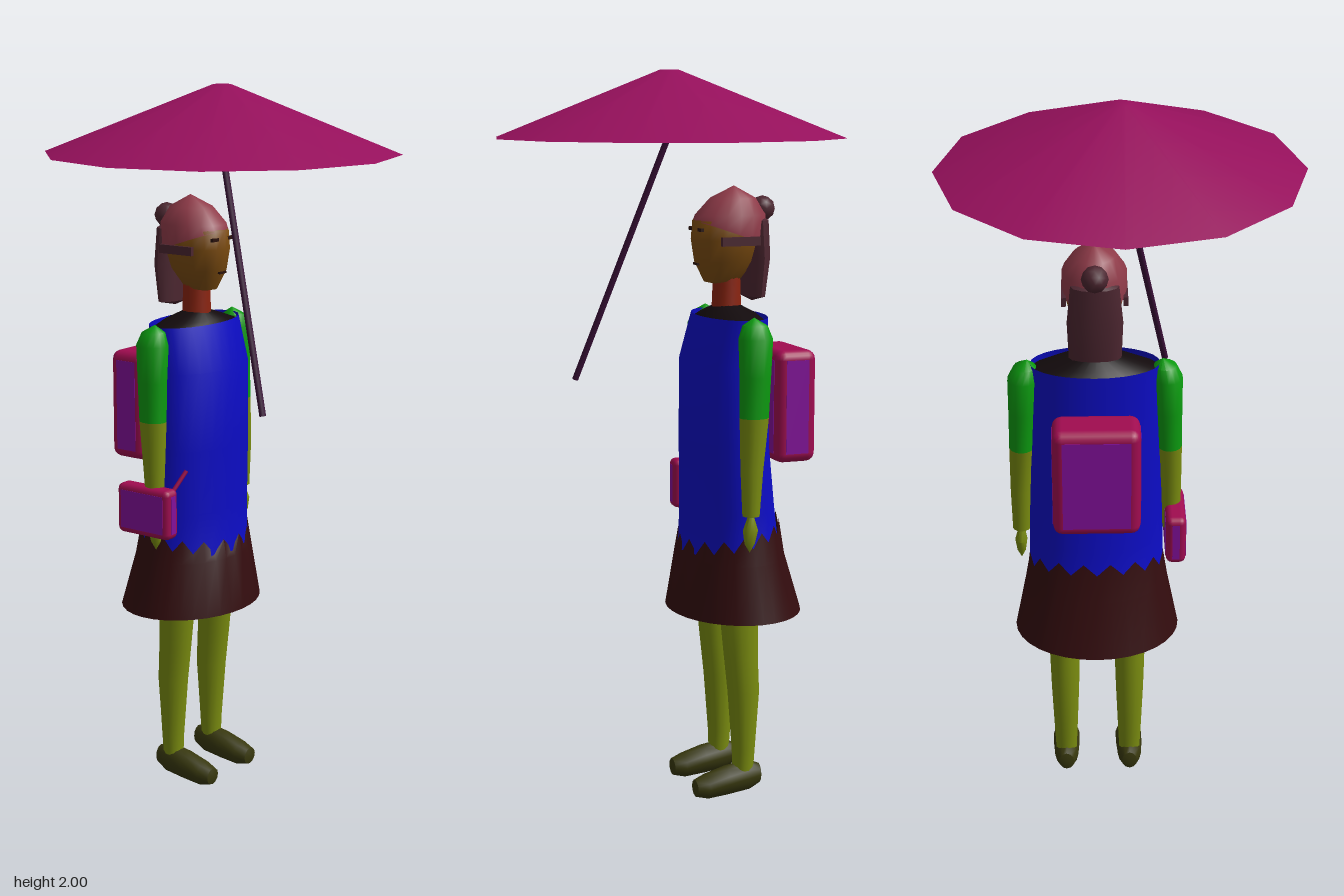
import * as THREE from 'three';
import { toCreasedNormals } from 'three/addons/utils/BufferGeometryUtils.js';
import { RoundedBoxGeometry } from 'three/addons/geometries/RoundedBoxGeometry.js';

const CX = -0.14, CZ = -0.07; // body axis; the figure looks along +x

const mat = (color, side = THREE.FrontSide) => new THREE.MeshStandardMaterial({ color, side });
const plum = mat(0x96105c), blue = mat(0x0c0cc4, THREE.DoubleSide), brown = mat(0x330c0e, THREE.DoubleSide);
const black = mat(0x120a0c), green = mat(0x0c9a10), olive = mat(0x7a8c10), skin = mat(0x7c4c10);
const red = mat(0x8a2410), pink = mat(0x8e3a48), darkHair = mat(0x4c2630), shoe = mat(0x38380e);
const crimson = mat(0xa00c50), purple = mat(0x84109c), pole = mat(0x3a1038), line = mat(0x2a120c);

// Skin over elliptical rings [y, cx, cz, rx, rz], bottom to top; lift(i, a) shifts points in y
function loft(rings, n = 14, lift = () => 0) {
  const pos = [], idx = [];
  rings.forEach(([y, cx, cz, rx, rz], i) => {
    for (let j = 0; j < n; j++) {
      const a = (j / n) * Math.PI * 2;
      pos.push(cx + rx * Math.cos(a), y + lift(i, a, j), cz + rz * Math.sin(a));
      if (i === rings.length - 1) continue;
      const p = i * n + j, q = i * n + (j + 1) % n;
      idx.push(p, p + n, q, q, p + n, q + n);
    }
  });
  const g = new THREE.BufferGeometry();
  g.setAttribute('position', new THREE.Float32BufferAttribute(pos, 3));
  g.setIndex(idx);
  return toCreasedNormals(g, 0.8);
}

export function createModel() {
  const model = new THREE.Group();
  const add = (name, geometry, material, x = 0, y = 0, z = 0, parent = model) => {
    const m = new THREE.Mesh(geometry, material);
    m.name = name;
    m.position.set(x, y, z);
    parent.add(m);
    return m;
  };
  const rod = (name, from, to, r, material) => {
    const a = new THREE.Vector3(...from), b = new THREE.Vector3(...to);
    add(name, new THREE.TubeGeometry(new THREE.LineCurve3(a, b), 1, r, 8), material);
  };

  // Parasol with twelve sides and a leaning pole
  const canopy = new THREE.CylinderGeometry(0.025, 0.48, 0.18, 12);
  add('parasolCanopy', toCreasedNormals(canopy, 0.6), plum, 0, 1.91, 0);
  rod('parasolPole', [0, 1.83, 0], [0.23, 1.155, 0.132], 0.009, pole);

  // Tunic, running down inside the skirt as a lining
  add('tunic', loft([
    [0.53, -0.162, CZ, 0.172, 0.217],
    [0.72, -0.148, CZ, 0.130, 0.184],
    [0.82, -0.143, CZ, 0.122, 0.182],
    [1.00, -0.133, CZ, 0.114, 0.178],
    [1.22, -0.132, CZ, 0.112, 0.176],
    [1.345, -0.148, CZ, 0.090, 0.170],
  ], 28), blue);
  add('collar', loft([
    [1.33, -0.148, CZ, 0.088, 0.168],
    [1.35, -0.146, CZ, 0.070, 0.110],
    [1.375, CX, CZ, 0.03, 0.03],
  ], 24), black);

  // Skirt with a ragged top edge, higher at the back
  add('skirt', loft([
    [0.525, -0.1625, CZ, 0.1825, 0.227],
    [0.68, -0.152, CZ, 0.146, 0.196],
    [0.745, -0.148, CZ, 0.131, 0.186],
  ], 32, (i, a, j) => i === 2 ? -0.03 * Math.cos(a) + (j % 2 ? 0.018 : -0.018) : 0), brown);

  // Neck and head
  add('neck', loft([[1.33, CX, CZ, 0.042, 0.042], [1.46, CX, CZ, 0.037, 0.037]], 12), red);
  add('face', loft([
    [1.425, -0.125, CZ, 0, 0],
    [1.436, -0.125, CZ, 0.050, 0.034],
    [1.49, -0.132, CZ, 0.083, 0.066],
    [1.55, -0.138, CZ, 0.098, 0.080],
    [1.60, -0.14, CZ, 0.096, 0.078],
    [1.65, -0.15, CZ, 0.06, 0.05],
  ], 16), skin);
  add('hairCap', loft([
    [1.565, -0.145, CZ, 0.100, 0.084],
    [1.615, -0.150, CZ, 0.098, 0.083],
    [1.66, -0.157, CZ, 0.063, 0.055],
    [1.693, -0.16, CZ, 0, 0],
  ], 16, (i, a) => i === 0 ? 0.035 * Math.cos(a) : 0), pink);
  add('hairTail', loft([
    [1.38, -0.215, CZ, 0, 0],
    [1.395, -0.215, CZ, 0.028, 0.068],
    [1.50, -0.222, CZ, 0.036, 0.072],
    [1.60, -0.22, CZ, 0.034, 0.062],
    [1.625, -0.215, CZ, 0, 0],
  ], 12), darkHair);
  add('hairBun', new THREE.IcosahedronGeometry(0.035, 1), darkHair, -0.243, 1.63, CZ);

  for (const s of [-1, 1]) {
    const side = s > 0 ? 'right' : 'left'; // the figure's own sides
    const at = (d) => CZ + s * d;

    // Face details and side locks
    add(side + 'Eye', new THREE.BoxGeometry(0.008, 0.009, 0.028), line, -0.051, 1.578, at(0.034));
    add(side + 'Lock', new THREE.BoxGeometry(0.11, 0.024, 0.012), darkHair, -0.15, 1.548, at(0.079));

    // Arm in two colours, then the hand
    add(side + 'UpperArm', loft([
      [1.09, -0.142, at(0.198), 0.040, 0.034],
      [1.20, -0.146, at(0.194), 0.043, 0.037],
      [1.30, -0.148, at(0.190), 0.047, 0.041],
      [1.335, -0.148, at(0.184), 0.034, 0.030],
      [1.355, -0.148, at(0.178), 0, 0],
    ]), green);
    add(side + 'Forearm', loft([
      [0.82, -0.132, at(0.205), 0, 0],
      [0.825, -0.132, at(0.205), 0.023, 0.024],
      [0.95, -0.134, at(0.204), 0.031, 0.028],
      [1.09, -0.142, at(0.198), 0.040, 0.034],
    ]), olive);
    add(side + 'Hand', loft([
      [0.725, -0.128, at(0.207), 0, 0],
      [0.75, -0.128, at(0.207), 0.015, 0.012],
      [0.785, -0.13, at(0.207), 0.022, 0.017],
      [0.825, -0.132, at(0.205), 0.008, 0.008],
    ], 10), olive);

    // Leg
    add(side + 'Leg', loft([
      [0.07, -0.16, at(0.092), 0.029, 0.030],
      [0.13, -0.161, at(0.092), 0.032, 0.033],
      [0.30, -0.160, at(0.092), 0.045, 0.040],
      [0.40, -0.152, at(0.092), 0.048, 0.043],
      [0.52, -0.145, at(0.092), 0.054, 0.046],
      [0.78, -0.143, at(0.088), 0.062, 0.055],
    ]), olive);

    // Shoe, skinned from heel to toe and then laid flat along x
    const foot = loft([
      [-0.215, -0.055, 0, 0, 0],
      [-0.208, -0.055, 0, 0.028, 0.022],
      [-0.175, -0.054, 0, 0.043, 0.034],
      [-0.11, -0.045, 0, 0.041, 0.038],
      [-0.05, -0.034, 0, 0.034, 0.038],
      [-0.018, -0.032, 0, 0.024, 0.026],
      [-0.01, -0.032, 0, 0, 0],
    ], 12).rotateZ(-Math.PI / 2);
    add(side + 'Shoe', foot, shoe, 0, 0, at(0.092));
  }
  add('mouth', new THREE.BoxGeometry(0.008, 0.006, 0.03), line, -0.052, 1.485, CZ);

  // Rounded bag with a flat panel on every face
  const bag = (name, [x, y, z], [w, h, d], r) => {
    const g = new THREE.Group();
    g.name = name;
    g.position.set(x, y, z);
    add('body', new RoundedBoxGeometry(w, h, d, 2, r), crimson, 0, 0, 0, g);
    const e = 0.002, k = 2 * r;
    add('sidePanels', new THREE.BoxGeometry(w - k, h - k, d + e), purple, 0, 0, 0, g);
    add('backPanels', new THREE.BoxGeometry(w + e, h - k, d - k), purple, 0, 0, 0, g);
    model.add(g);
  };
  bag('backpack', [-0.305, 1.095, CZ], [0.118, 0.31, 0.23], 0.026);
  bag('hipPouch', [-0.15, 0.838, 0.145], [0.18, 0.142, 0.054], 0.017);
  rod('pouchStrap', [-0.09, 0.88, 0.125], [-0.065, 0.95, 0.078], 0.006, crimson);

  return model;
}
